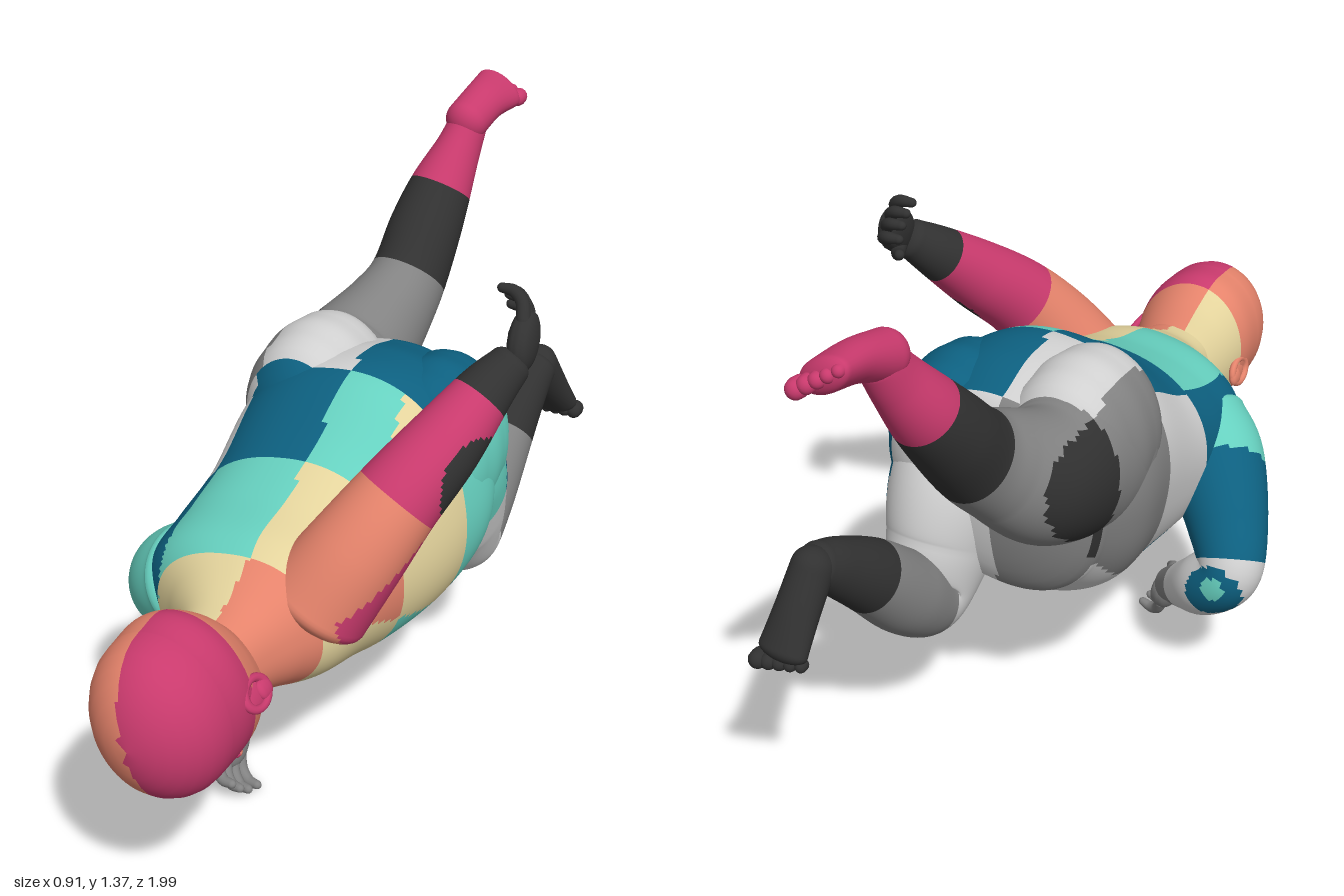
import * as THREE from 'three';

const V = (x, y, z) => new THREE.Vector3(x, y, z);
const palette = [
  ['crimson', 0xc93a6d], ['salmon', 0xe5836b], ['cream', 0xe3d39c], ['turquoise', 0x66d0bf],
  ['blue', 0x0d6080], ['light grey', 0xd0d0d0], ['grey', 0x828282], ['charcoal', 0x313131],
];

export function createModel() {
  const materials = palette.map(([name, color]) => {
    const m = new THREE.MeshStandardMaterial({ color });
    m.name = name;
    return m;
  });

  // Smooth body through rounded sections [x, y, z, halfWidth, halfHeight], with domed ends.
  // colour(point, s) picks a palette entry; s counts along the sections. box < 1 squares the sections.
  function loft(name, sections, colour, { ref = V(1, 0, 0), along = null, caps = [0.03, 0.03], rings = 56, segs = 40, box = 1 } = {}) {
    const path = new THREE.CatmullRomCurve3(sections.map(a => V(a[0], a[1], a[2])), false, 'catmullrom', 0.5);
    const size = new THREE.CatmullRomCurve3(sections.map(a => V(a[3], a[4] ?? a[3], 0)), false, 'catmullrom', 0.5);
    const rows = [], capRings = 8;
    for (let i = capRings; i > 0; i--) rows.push([0, -1, i / capRings]);
    for (let i = 0; i <= rings; i++) rows.push([i / rings, 0, 0]);
    for (let i = 1; i <= capRings; i++) rows.push([1, 1, i / capRings]);
    const bulge = v => Math.sign(v) * Math.abs(v) ** box;
    const points = [];
    for (const [t, end, k] of rows) {
      const T = along ?? path.getTangent(t);
      const S = ref.clone().addScaledVector(T, -ref.dot(T)).normalize();
      const U = V().crossVectors(T, S);
      const r = size.getPoint(t), phi = k * Math.PI / 2, shrink = Math.max(Math.cos(phi), 0.002);
      const c = path.getPoint(t).addScaledVector(T, end * Math.sin(phi) * caps[end < 0 ? 0 : 1]);
      for (let j = 0; j < segs; j++) {
        const a = j / segs * Math.PI * 2;
        points.push(c.clone().addScaledVector(S, r.x * shrink * bulge(Math.cos(a)))
          .addScaledVector(U, r.y * shrink * bulge(Math.sin(a))));
      }
    }
    const faces = materials.map(() => []);
    for (let i = 0; i < rows.length - 1; i++) {
      const s = (rows[i][0] + rows[i + 1][0]) / 2 * (sections.length - 1);
      for (let j = 0; j < segs; j++) {
        const a = i * segs + j, b = i * segs + (j + 1) % segs, c = a + segs, d = b + segs;
        const mid = points[a].clone().add(points[d]).multiplyScalar(0.5);
        const n = typeof colour === 'function' ? colour(mid, s) : colour;
        faces[Math.min(7, Math.max(0, n))].push(a, b, c, b, d, c);
      }
    }
    const g = new THREE.BufferGeometry().setFromPoints(points);
    g.setIndex(faces.flat());
    let start = 0;
    faces.forEach((f, n) => { if (f.length) g.addGroup(start, f.length, n); start += f.length; });
    g.computeVertexNormals();
    const mesh = new THREE.Mesh(g, materials);
    mesh.name = name;
    return mesh;
  }

  // Plain rounded lump
  const blob = (name, [x, y, z], [rx, ry, rz], colour, segs = 16) =>
    loft(name, [[x, y, z + rz * 0.3, rx, ry], [x, y, z, rx * 1.04, ry * 1.04], [x, y, z - rz * 0.3, rx, ry]], colour,
      { along: V(0, 0, -1), caps: [rz * 0.7, rz * 0.7], rings: segs / 4, segs });

  // Patchwork colour on the trunk: bands along the spine, shifted by columns across it
  const trunkColour = p => {
    const band = p.z > 0.49 ? 1 : p.z > 0.22 ? 2 : p.z > 0 ? 3 : p.z > -0.26 ? 4 : 5;
    const cut = p.z > 0 ? 0.235 - 0.2 * (p.y - 0.5) : 0.27;
    return band + (p.x < -0.225 ? 2 : p.x < 0.005 ? 1 : p.x > cut ? -1 : 0);
  };
  const near = (p, x, y, z, r) => p.distanceTo(V(x, y, z)) < r;

  const model = new THREE.Group();
  model.name = 'crawlingFigure';

  // Trunk from neck to hips
  model.add(loft('torso', [
    [0, 0.59, 0.7, 0.09, 0.09], [0.005, 0.59, 0.6, 0.115, 0.112], [-0.01, 0.59, 0.53, 0.165, 0.145],
    [-0.04, 0.585, 0.44, 0.245, 0.19], [-0.035, 0.585, 0.32, 0.262, 0.22], [-0.015, 0.6, 0.18, 0.268, 0.268],
    [0.005, 0.65, 0.02, 0.292, 0.318], [0.01, 0.67, -0.12, 0.305, 0.305], [0.005, 0.69, -0.24, 0.26, 0.25],
  ], trunkColour, { ref: V(0.985, 0.17, 0), along: V(0, 0, -1), caps: [0.03, 0.08], rings: 120, segs: 120, box: 0.88 }));
  model.add(blob('rightButtock', [-0.135, 0.805, -0.13], [0.155, 0.2, 0.19], trunkColour, 64));
  model.add(blob('leftButtock', [0.16, 0.745, -0.15], [0.153, 0.215, 0.18], trunkColour, 64));

  // Legs: the right stretched up and back, the left bent at the knee
  model.add(loft('rightLeg', [
    [-0.14, 0.77, -0.08, 0.15, 0.2], [-0.145, 0.79, -0.2, 0.15, 0.185], [-0.14, 0.825, -0.34, 0.14, 0.155],
    [-0.105, 0.905, -0.46, 0.108, 0.122], [-0.09, 0.965, -0.535, 0.094, 0.105], [-0.085, 1.06, -0.62, 0.09, 0.093],
    [-0.075, 1.145, -0.69, 0.078, 0.08], [-0.055, 1.235, -0.752, 0.056, 0.062], [-0.045, 1.29, -0.785, 0.048, 0.052],
  ], (p, s) => s < 4 ? trunkColour(p) : s < 6 ? 7 : 0, { caps: [0.1, 0.03], rings: 88, segs: 64 }));
  model.add(loft('leftLeg', [
    [0.155, 0.73, -0.08, 0.145, 0.21], [0.16, 0.64, -0.19, 0.15, 0.18], [0.165, 0.51, -0.26, 0.125, 0.15],
    [0.165, 0.41, -0.33, 0.095, 0.1], [0.165, 0.475, -0.43, 0.092, 0.098], [0.175, 0.585, -0.545, 0.08, 0.085],
    [0.19, 0.665, -0.645, 0.062, 0.066], [0.2, 0.7, -0.7, 0.052],
  ], (p, s) => s < 1.5 ? trunkColour(p) : s < 3.2 ? 5 : s < 5 ? 6 : 7, { caps: [0.1, 0.03], rings: 88, segs: 64 }));

  // Feet with five toes each, spread along the across direction
  function foot(name, sections, toe, across, colour) {
    const g = new THREE.Group();
    g.name = name;
    g.add(loft(name + 'Sole', sections, colour, { ref: across, segs: 28, rings: 24, caps: [0.045, 0.025] }));
    for (let i = 0; i < 5; i++) {
      const r = 0.021 - 0.002 * i;
      const c = toe.clone().addScaledVector(across, (i - 2) * -0.024);
      g.add(blob(name + 'Toe', [c.x, c.y, c.z + i * 0.004], [r, r, r * 1.3], colour));
    }
    model.add(g);
  }
  foot('rightFoot', [[-0.045, 1.3, -0.775, 0.054, 0.052], [-0.035, 1.325, -0.86, 0.055, 0.043], [-0.027, 1.333, -0.94, 0.064, 0.036]],
    V(-0.025, 1.333, -0.966), V(0.86, -0.51, 0), 0);
  foot('leftFoot', [[0.2, 0.705, -0.715, 0.048, 0.05], [0.208, 0.625, -0.77, 0.052, 0.044], [0.216, 0.55, -0.82, 0.06, 0.034]],
    V(0.218, 0.525, -0.837), V(1, 0, 0), 7);

  // Arms: the left swept up and back, the right bent under the chest
  model.add(loft('leftArm', [
    [0.13, 0.64, 0.42, 0.125], [0.2, 0.76, 0.37, 0.112], [0.26, 0.865, 0.3, 0.098],
    [0.32, 0.96, 0.2, 0.085], [0.37, 1.05, 0.1, 0.064], [0.405, 1.1, 0.045, 0.048],
  ], (p, s) => {
    if (near(p, 0.39, 0.9, 0.21, 0.1)) return 7;
    const underside = p.x > 0.22 && p.y < 0.68 + (0.48 - p.z) * 0.8;
    return s < 2 && !underside ? 1 : s < 3.9 ? 0 : 7;
  }, { caps: [0.05, 0.03], rings: 80, segs: 60 }));
  model.add(loft('rightArm', [
    [-0.19, 0.58, 0.37, 0.135], [-0.26, 0.53, 0.33, 0.125], [-0.34, 0.43, 0.24, 0.1], [-0.38, 0.345, 0.17, 0.08],
    [-0.32, 0.28, 0.18, 0.08], [-0.25, 0.22, 0.23, 0.064], [-0.18, 0.165, 0.285, 0.046],
  ], (p, s) => {
    if (near(p, -0.37, 0.33, 0.085, 0.03)) return 3;
    if (near(p, -0.37, 0.31, 0.09, 0.075)) return 4;
    return s < 1.15 + (p.z - 0.3) * 2 ? 3 : s < 2.8 ? 4 : s < 5.2 ? 5 : 6;
  }, { ref: V(0, 0, 1), caps: [0.05, 0.03], rings: 80, segs: 60 }));

  // Hands: local y runs to the fingertips, z is the side the fingers curl to
  function hand(name, at, fingers, palm, side, colour) {
    const g = new THREE.Group();
    g.name = name;
    const Y = fingers.normalize(), Z = palm.addScaledVector(Y, -palm.dot(Y)).normalize();
    g.applyMatrix4(new THREE.Matrix4().makeBasis(V().crossVectors(Y, Z), Y, Z).setPosition(at));
    g.add(blob(name + 'Palm', [0, 0, 0], [0.05, 0.068, 0.032], colour, 24));
    const opts = { ref: V(1, 0, 0), caps: [0.01, 0.012], rings: 14, segs: 14 };
    for (let i = 0; i < 4; i++) {
      const x = (i - 1.5) * 0.025, len = 0.075 - 0.01 * Math.abs(i - 1.4);
      g.add(loft(name + 'Finger', [
        [x * 0.9, 0.03, 0, 0.016], [x * 1.1, 0.04 + len * 0.5, 0.008, 0.015],
        [x * 1.2, 0.04 + len * 0.9, 0.03, 0.014], [x * 1.2, 0.04 + len, 0.058, 0.011],
      ], colour, opts));
    }
    g.add(loft(name + 'Thumb', [
      [side * 0.025, -0.03, 0.005, 0.02], [side * 0.055, 0.005, 0.025, 0.016], [side * 0.065, 0.04, 0.045, 0.012],
    ], colour, opts));
    model.add(g);
  }
  hand('leftHand', V(0.418, 1.14, 0), V(-0.1, 0.65, -0.72), V(-1, 0.1, -0.1), -1, 7);
  hand('rightHand', V(-0.145, 0.11, 0.335), V(0.12, -0.75, 0.5), V(0.9, 0.3, 0.15), 1, 6);

  // Head, face down and rolled slightly to one side
  const head = new THREE.Group();
  head.name = 'head';
  head.position.set(0, 0.595, 0.8);
  head.rotation.z = 0.2;
  const headColour = p => (p.z > -0.055 ? 0 : 1) + (p.x < -0.01 ? 1 : 0);
  head.add(loft('skull', [
    [0, 0, 0.05, 0.153, 0.187], [0, 0, -0.03, 0.153, 0.188], [0, -0.02, -0.1, 0.134, 0.168], [0, -0.045, -0.165, 0.102, 0.13],
  ], headColour, { along: V(0, 0, -1), caps: [0.15, 0.035], rings: 60, segs: 64 }));
  head.add(blob('nose', [0, -0.196, -0.085], [0.022, 0.026, 0.024], headColour));
  head.add(blob('noseBridge', [0, -0.182, -0.055], [0.014, 0.018, 0.045], headColour));
  head.add(blob('upperLip', [0, -0.178, -0.127], [0.034, 0.014, 0.011], headColour));
  head.add(blob('lowerLip', [0, -0.174, -0.146], [0.028, 0.014, 0.011], headColour));
  head.add(blob('chin', [0, -0.158, -0.172], [0.038, 0.026, 0.022], headColour));
  for (const s of [-1, 1]) {
    head.add(blob('eyelid', [s * 0.055, -0.166, -0.06], [0.026, 0.014, 0.014], headColour));
    head.add(blob('nostril', [s * 0.018, -0.192, -0.092], [0.013, 0.014, 0.014], headColour));
    // Ears
    const earColour = s > 0 ? 0 : 1;
    const ear = new THREE.Group();
    ear.name = s > 0 ? 'leftEar' : 'rightEar';
    ear.position.set(s * 0.152, -0.01, -0.06);
    ear.rotation.z = s * 0.35;
    const rim = new THREE.Mesh(new THREE.TorusGeometry(0.031, 0.009, 10, 28).rotateY(Math.PI / 2), materials[earColour]);
    rim.name = 'earRim';
    rim.scale.z = 1.3;
    ear.add(rim, blob('earLobe', [0, -0.005, -0.028], [0.011, 0.022, 0.024], earColour),
      blob('earBowl', [-s * 0.008, 0, 0], [0.01, 0.03, 0.038], earColour));
    head.add(ear);
  }
  model.add(head);

  return model;
}
